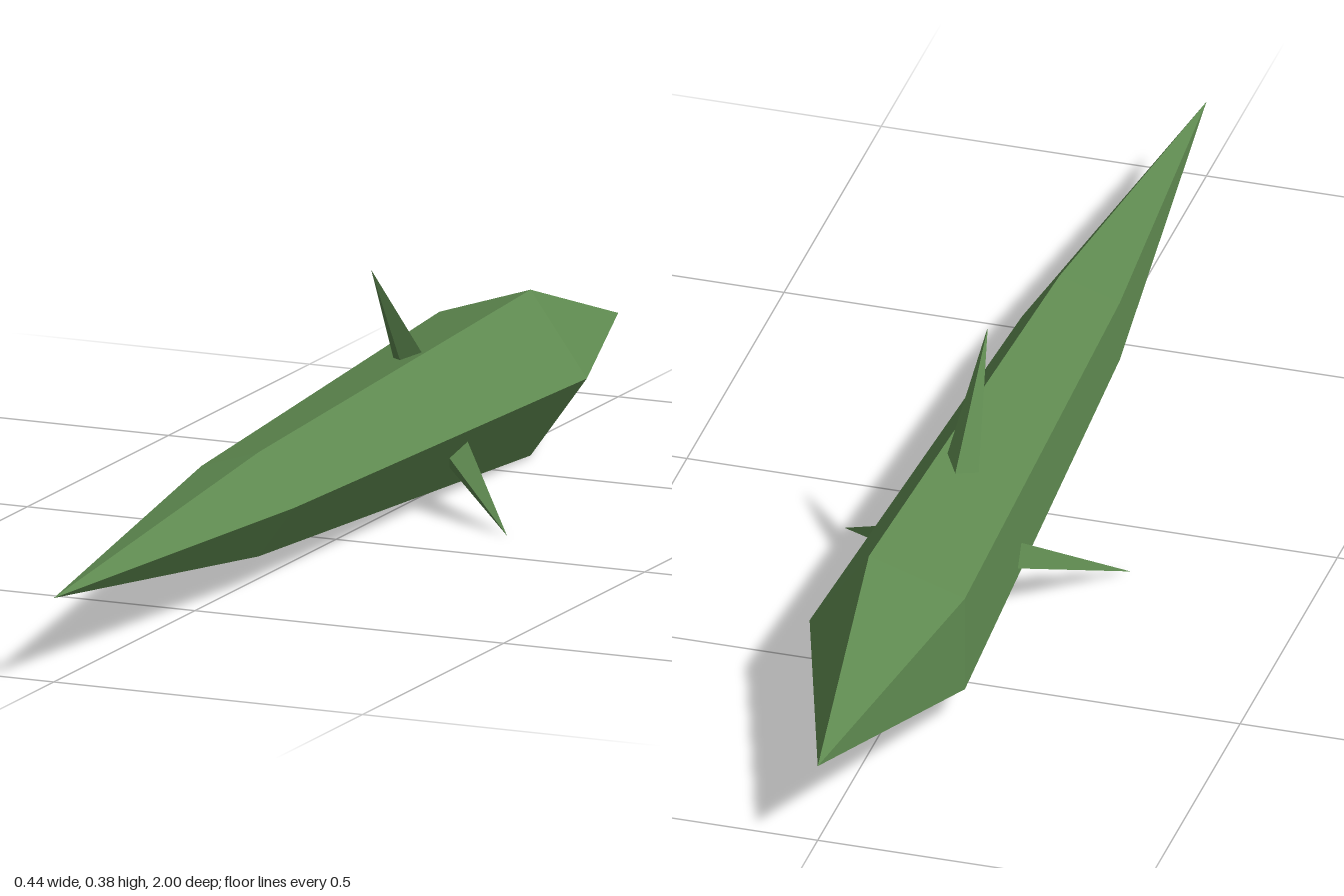
import * as THREE from 'three';

export function createModel() {
  const model = new THREE.Group();
  model.name = 'spikedDart';
  const green = new THREE.MeshStandardMaterial({ color: 0x5f8a50, flatShading: true });
  green.name = 'leaf green';
  const axisY = 0.128;

  // Five-sided body along z, pointed at both ends, widest near the back
  const profile = [[0, -1], [0.132, -0.6], [0.083, 0.33], [0, 1]]
    .map(([r, z]) => new THREE.Vector2(r, z));
  const bodyGeometry = new THREE.LatheGeometry(profile, 5, Math.PI / 2);
  bodyGeometry.rotateX(Math.PI / 2);
  const body = new THREE.Mesh(bodyGeometry, green);
  body.name = 'body';
  body.position.y = axisY;
  model.add(body);

  // Three four-sided thorns around the body, leaning forward
  const length = 0.26;
  const thornGeometry = new THREE.ConeGeometry(0.033, length, 4);
  thornGeometry.translate(0, -length / 2, 0); // tip at the origin
  thornGeometry.rotateX(0.695);
  thornGeometry.translate(0, 0.254, -0.125);
  ['topThorn', 'rightThorn', 'leftThorn'].forEach((name, i) => {
    const thorn = new THREE.Mesh(thornGeometry, green);
    thorn.name = name;
    thorn.position.y = axisY;
    thorn.rotation.z = (i * Math.PI * 2) / 3;
    model.add(thorn);
  });

  return model;
}
